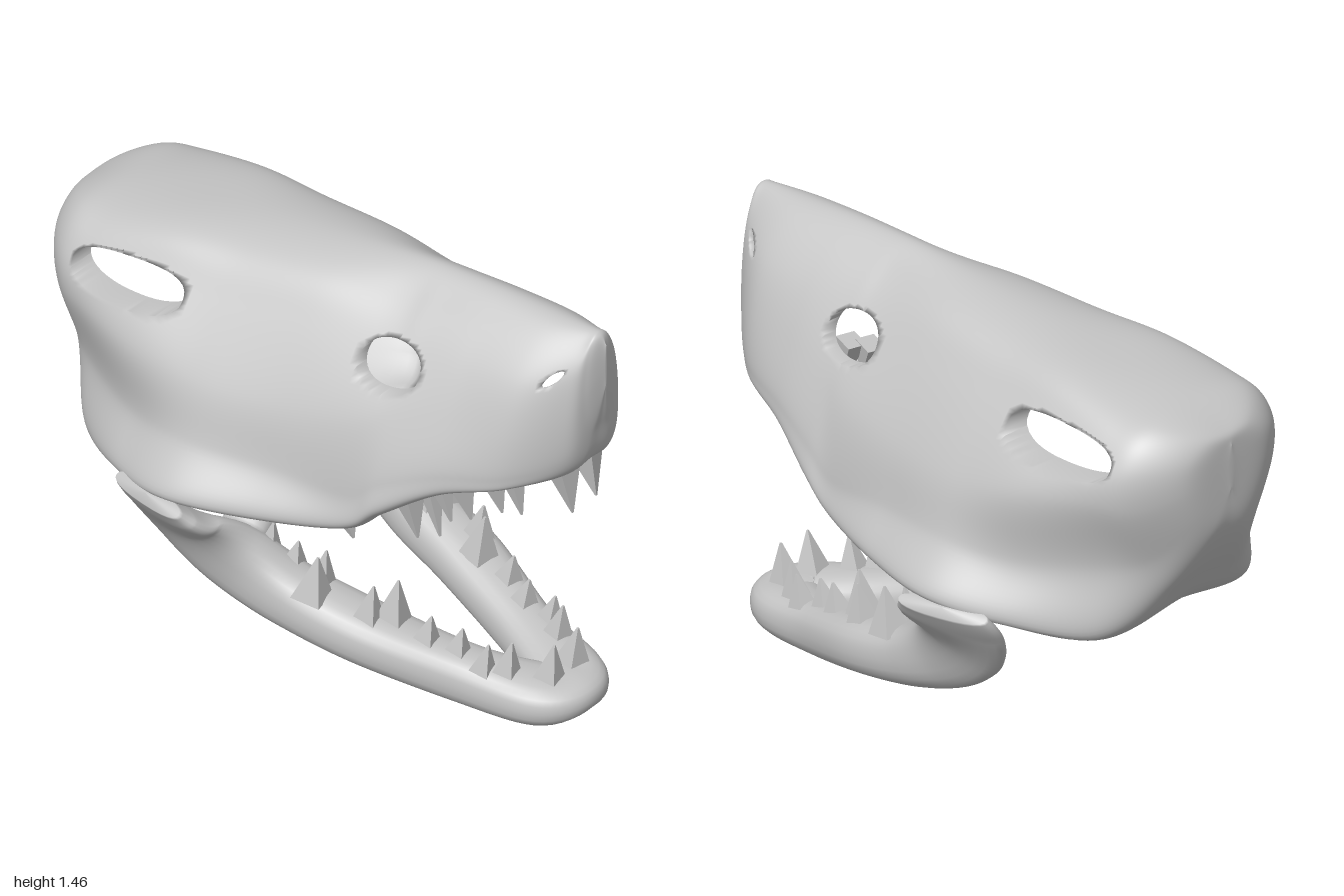
import * as THREE from 'three';

const bone = new THREE.MeshStandardMaterial({ color: 0xc4c4c4 });
bone.name = 'bone grey';

// Skull cross-sections: z, top y, then five (x, y) points down to the mouth rim
const snout = [
  [0.978, 1.455, 0.035, 1.435, 0.06, 1.37, 0.07, 1.27, 0.06, 1.18, 0.035, 1.13],
  [0.94, 1.462, 0.055, 1.425, 0.11, 1.33, 0.135, 1.18, 0.13, 1.04, 0.085, 0.98],
  [0.8, 1.465, 0.09, 1.42, 0.185, 1.3, 0.24, 1.14, 0.26, 0.98, 0.22, 0.93],
  [0.6, 1.47, 0.1, 1.415, 0.2, 1.3, 0.28, 1.14, 0.34, 0.95, 0.3, 0.87],
  [0.42, 1.468, 0.11, 1.4, 0.21, 1.29, 0.32, 1.1, 0.395, 0.88, 0.37, 0.76],
  [0.3, 1.463, 0.12, 1.39, 0.23, 1.27, 0.36, 1.05, 0.41, 0.8, 0.39, 0.67],
];
const cranium = [
  [0.05, 1.44, 0.16, 1.39, 0.27, 1.26, 0.4, 1.02, 0.45, 0.82, 0.49, 0.65],
  [-0.25, 1.41, 0.19, 1.37, 0.31, 1.24, 0.445, 1.02, 0.5, 0.83, 0.57, 0.645],
  [-0.5, 1.385, 0.21, 1.36, 0.32, 1.25, 0.445, 1.05, 0.44, 0.81, 0.49, 0.61],
  [-0.75, 1.35, 0.22, 1.32, 0.33, 1.22, 0.38, 1.07, 0.32, 0.83, 0.33, 0.59],
  [-0.88, 1.32, 0.2, 1.3, 0.3, 1.2, 0.31, 1.06, 0.23, 0.87, 0.17, 0.74],
  [-0.98, 1.265, 0.1, 1.255, 0.17, 1.2, 0.18, 1.11, 0.14, 1.0, 0.08, 0.93],
];
// End section pinched onto the middle plane
const pinch = (z, top, bottom) =>
  [z, top, ...[1, 2, 3, 4, 5].flatMap(k => [0, top + (bottom - top) * k / 5])];

// Openings seen from the side: centre, radii, tilt, squareness, depth of the inner lip
const openings = [
  { z: 0.36, y: 1.22, rz: 0.11, ry: 0.074, tilt: 0, p: 2.2, lip: 0.05 },      // eye
  { z: -0.59, y: 1.2, rz: 0.215, ry: 0.066, tilt: 0.06, p: 2.6, lip: 0.1 },   // temple
  { z: 0.893, y: 1.32, rz: 0.042, ry: 0.013, tilt: 0.8, p: 2, lip: 0.02 },    // nostril
];
function reach(h, z, y) {
  const c = Math.cos(h.tilt), s = Math.sin(h.tilt);
  const a = ((z - h.z) * c + (y - h.y) * s) / h.rz;
  const b = ((y - h.y) * c - (z - h.z) * s) / h.ry;
  return Math.pow(Math.abs(a) ** h.p + Math.abs(b) ** h.p, 1 / h.p);
}

function makeGeometry(points, index) {
  const g = new THREE.BufferGeometry();
  g.setAttribute('position', new THREE.Float32BufferAttribute(points.flatMap(p => [p.x, p.y, p.z]), 3));
  g.setIndex(index);
  g.computeVertexNormals();
  return g;
}

// Skull: lofted closed skin with palate; openings are cut and their edges turned inwards
function skullGeometry() {
  const N = 156, M = 168;
  const rows = [pinch(1, 1.42, 1.28), ...snout, ...cranium, pinch(-1, 1.22, 1.08)];
  const rails = [0, 1, 2, 3, 4, 5, 6].map(k => new THREE.CatmullRomCurve3(rows.map(r => {
    if (k === 0) return new THREE.Vector3(0, r[1], r[0]);
    if (k === 6) return new THREE.Vector3(0, r[11] + 0.15 * r[10] ** 2, r[0]);
    return new THREE.Vector3(r[2 * k], r[2 * k + 1], r[0]);
  }), false, 'catmullrom', 0.5));
  const pts = [], ids = [];
  for (let i = 0; i <= N; i++) {
    const half = rails.map(c => c.getPoint(i / N));
    half.forEach(p => { p.x = Math.max(0, p.x); });
    const left = half.slice(1).reverse();
    const right = half.slice(1).map(p => new THREE.Vector3(-p.x, p.y, p.z));
    const section = new THREE.CatmullRomCurve3([...left, half[0], ...right], false, 'catmullrom', 0.5);
    for (let j = 0; j <= M; j++) {
      const p = section.getPoint(j / M);
      const onMiddle = Math.abs(p.x) < 1e-4;
      if (onMiddle) p.x = 0;
      ids.push(i * (M + 1) + (onMiddle ? Math.min(j, M - j) : j));
      pts.push(p);
    }
  }
  const whole = [], kept = [], inKept = new Set(), inCut = new Map();
  const split = ([a, b, c, d]) => [[a, b, c], [a, c, d]].filter(t => new Set(t).size === 3);
  for (let i = 0; i < N; i++) for (let j = 0; j < M; j++) {
    const a = i * (M + 1) + j, quad = [a, a + M + 1, a + M + 2, a + 1].map(k => ids[k]);
    const z = quad.reduce((s, k) => s + pts[k].z / 4, 0), y = quad.reduce((s, k) => s + pts[k].y / 4, 0);
    const hole = openings.find(h => reach(h, z, y) < 1);
    whole.push(...split(quad));
    if (hole) quad.forEach(k => inCut.set(k, hole));
    else { kept.push(...split(quad)); quad.forEach(k => inKept.add(k)); }
  }
  const normals = makeGeometry(pts, whole.flat()).attributes.normal;
  // slide the cut edge along the surface onto a clean outline
  inCut.forEach((h, k) => {
    if (!inKept.has(k)) return;
    const p = pts[k], n = new THREE.Vector3().fromBufferAttribute(normals, k), s = 1 / reach(h, p.z, p.y) - 1;
    const dz = (p.z - h.z) * s, dy = (p.y - h.y) * s;
    p.x -= (n.z * dz + n.y * dy) / n.x;
    p.z += dz;
    p.y += dy;
  });
  // level lips running inwards from the open edges
  const n = pts.length, index = kept.flat(), edges = new Set();
  const inner = pts.map((p, k) => new THREE.Vector3(
    p.x - Math.sign(p.x) * (inCut.has(k) ? inCut.get(k).lip : 0), p.y, p.z));
  kept.forEach(t => t.forEach((a, k) => edges.add(a * n + t[(k + 1) % 3])));
  edges.forEach(e => {
    const a = Math.floor(e / n), b = e % n;
    if (!edges.has(b * n + a)) index.push(b, a, a + n, b, a + n, b + n);
  });
  return makeGeometry([...pts, ...inner], index);
}

// Sweeps a rounded section along a mirrored path of [x, y, z, thickness, breadth, turn];
// turn swings the breadth from upright (0) to fore-and-aft (1)
function mirroredSweep(half, steps, squareness) {
  const all = [...half.slice(1).reverse().map(([x, ...r]) => [-x, ...r]), ...half];
  const curve = f => new THREE.CatmullRomCurve3(all.map(r => new THREE.Vector3(...f(r))), false, 'catmullrom', 0.5);
  const path = curve(r => r.slice(0, 3)), size = curve(r => r.slice(3, 6));
  const S = 24, pts = [], index = [];
  const round = v => Math.sign(v) * Math.abs(v) ** squareness;
  for (let i = 0; i <= steps; i++) {
    const t = i / steps, c = path.getPoint(t), r = size.getPoint(t), dir = path.getTangent(t);
    const side = new THREE.Vector3().crossVectors(dir, new THREE.Vector3(0, 1 - r.z, r.z)).normalize();
    const up = new THREE.Vector3().crossVectors(side, dir);
    const f = i === 0 || i === steps ? 0 : 1;
    for (let k = 0; k < S; k++) {
      const a = k / S * Math.PI * 2;
      pts.push(c.clone().addScaledVector(side, f * r.x * round(Math.cos(a)))
        .addScaledVector(up, f * r.y * round(Math.sin(a))));
      if (i < steps) {
        const p = i * S + k, q = i * S + (k + 1) % S;
        index.push(p, q + S, q, p, p + S, q + S);
      }
    }
  }
  return makeGeometry(pts, index);
}

// Four-sided faceted teeth, each [x, z, base y, tip y, radius], on both sides, leaning forward
function addTeeth(group, name, lean, list) {
  const row = new THREE.Group();
  row.name = name;
  list.forEach(([x, z, y0, y1, r]) => [1, -1].forEach(s => {
    const base = new THREE.Vector3(s * x, y0, z), tip = new THREE.Vector3(s * x, y1, z + lean);
    const g = new THREE.CylinderGeometry(0.004, r, base.distanceTo(tip), 4).toNonIndexed();
    g.computeVertexNormals();
    const tooth = new THREE.Mesh(g, bone);
    tooth.name = 'tooth';
    tooth.position.copy(base).lerp(tip, 0.5);
    tooth.quaternion.setFromUnitVectors(new THREE.Vector3(0, 1, 0), tip.sub(base).normalize());
    tooth.rotateY(0.6 * s);
    row.add(tooth);
  }));
  group.add(row);
}

export function createModel() {
  const model = new THREE.Group();
  model.name = 'reptileSkull';
  const add = (name, geometry) => {
    const mesh = new THREE.Mesh(geometry, bone);
    mesh.name = name;
    model.add(mesh);
  };
  add('skull', skullGeometry());
  add('lowerJaw', mirroredSweep([
    [0, 0.095, 0.84, 0.12, 0.06, 0], [0.07, 0.085, 0.79, 0.12, 0.078, 0], [0.15, 0.115, 0.58, 0.095, 0.085, 0],
    [0.255, 0.2, 0.28, 0.11, 0.09, 0], [0.31, 0.27, 0.03, 0.1, 0.1, 0.1], [0.365, 0.365, -0.14, 0.08, 0.13, 0.5],
    [0.445, 0.475, -0.26, 0.05, 0.17, 0.9], [0.53, 0.575, -0.31, 0.04, 0.18, 1.25],
    [0.59, 0.65, -0.33, 0.03, 0.15, 1.4],
  ], 130, 0.82));
  // Arched bar joining the two jaw branches
  add('jawBridge', mirroredSweep([
    [0, 0.55, -0.2, 0.09, 0.095, 0], [0.12, 0.555, -0.2, 0.09, 0.09, 0],
    [0.21, 0.51, -0.17, 0.08, 0.07, 0], [0.34, 0.43, -0.15, 0.08, 0.06, 0],
  ], 60, 0.9));
  addTeeth(model, 'upperTeeth', 0.045, [
    [0.06, 0.87, 0.98, 0.8, 0.064], [0.14, 0.735, 0.94, 0.78, 0.05], [0.18, 0.69, 0.93, 0.79, 0.05],
    [0.22, 0.6, 0.89, 0.75, 0.05], [0.23, 0.53, 0.87, 0.72, 0.047], [0.28, 0.44, 0.83, 0.65, 0.064],
    [0.22, 0.48, 0.83, 0.64, 0.045], [0.33, 0.23, 0.7, 0.59, 0.052], [0.27, 0.06, 0.69, 0.57, 0.058],
    [0.29, 0.02, 0.69, 0.58, 0.05],
  ]);
  addTeeth(model, 'lowerTeeth', 0.025, [
    [0.06, 0.82, 0.14, 0.28, 0.06], [0.13, 0.71, 0.15, 0.28, 0.055], [0.17, 0.65, 0.17, 0.27, 0.046],
    [0.17, 0.55, 0.19, 0.29, 0.052], [0.21, 0.46, 0.22, 0.32, 0.052], [0.22, 0.34, 0.26, 0.41, 0.064],
    [0.28, 0.29, 0.27, 0.4, 0.056], [0.34, 0.12, 0.32, 0.47, 0.07], [0.27, 0.1, 0.31, 0.45, 0.056],
    [0.28, 0, 0.35, 0.45, 0.052], [0.3, -0.08, 0.37, 0.5, 0.052],
  ]);
  return model;
}
